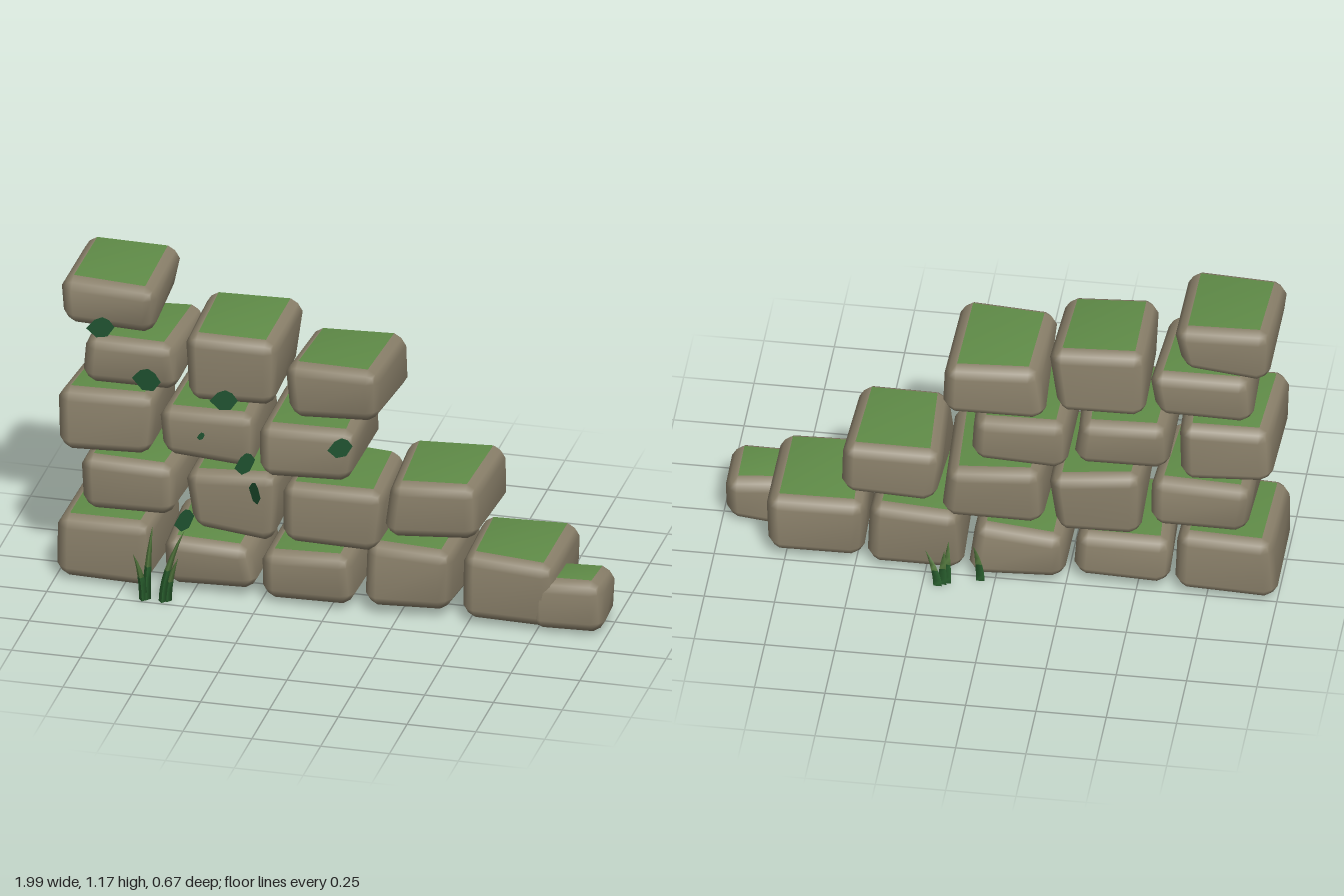
import * as THREE from 'three';
import { mergeVertices } from 'three/addons/utils/BufferGeometryUtils.js';

const material = (name, color, side = THREE.FrontSide) => {
  const m = new THREE.MeshStandardMaterial({ color, side });
  m.name = name;
  return m;
};

// Small seeded generator for the irregular stone corners
let seed = 11;
const random = () => {
  seed = (seed * 16807) % 2147483647;
  return seed / 2147483647;
};

// Bevelled block between the given bounds, with corners pulled slightly inwards
// and the flat middle of its top face kept as a separate group for the moss
function stoneGeometry([x0, x1, y0, y1, z0, z1, taper = 0]) {
  const centre = [(x0 + x1) / 2, (y0 + y1) / 2, (z0 + z1) / 2];
  const half = [(x1 - x0) / 2, (y1 - y0) / 2, (z1 - z0) / 2];
  const bevel = 0.044;
  const pull = Array.from({ length: 8 }, () => [random() * 0.024, random() * 0.022, random() * 0.026]);
  const geo = new THREE.BoxGeometry(2, 2, 2, 3, 3, 3);
  const top = geo.groups[2].start + 4 * 6;
  const total = geo.index.count;
  geo.clearGroups();
  geo.addGroup(0, top, 0);
  geo.addGroup(top, 6, 1);
  geo.addGroup(top + 6, total - top - 6, 0);

  const pos = geo.attributes.position;
  for (let i = 0; i < pos.count; i++) {
    const p = [pos.getX(i), pos.getY(i), pos.getZ(i)];
    const sign = p.map(Math.sign);
    const outer = p.map((v) => Math.abs(v) > 0.9);
    const count = outer.filter(Boolean).length;
    const reach = [0, 1, 0.62, 0.45][count];
    const corner = (sign[0] > 0 ? 1 : 0) + (sign[1] > 0 ? 2 : 0) + (sign[2] > 0 ? 4 : 0);
    const q = sign.map((s, k) =>
      s * (half[k] - bevel + (outer[k] ? bevel * reach : 0) - pull[corner][k]));
    if (sign[1] < 0) q[0] *= 1 - taper;
    pos.setXYZ(i, centre[0] + q[0], centre[1] + q[1], centre[2] + q[2]);
  }
  geo.deleteAttribute('uv');
  geo.deleteAttribute('normal');
  const smooth = mergeVertices(geo, 1e-5);
  smooth.computeVertexNormals();
  return smooth;
}

// Section of a tapering, bending grass blade, from t0 to t1 along its length
function bladeSection(base, tip, t0, t1) {
  const geo = new THREE.CylinderGeometry(1, 1, 1, 3, 3, true);
  const pos = geo.attributes.position;
  for (let i = 0; i < pos.count; i++) {
    const t = t0 + (pos.getY(i) + 0.5) * (t1 - t0);
    const r = 0.017 * (1 - t * t) + 0.0005;
    const bend = t ** 1.8;
    pos.setXYZ(i,
      base[0] + (tip[0] - base[0]) * bend + pos.getX(i) * r,
      tip[1] * t,
      base[1] + (tip[2] - base[1]) * bend + pos.getZ(i) * r * 0.7);
  }
  geo.computeVertexNormals();
  return geo;
}

export function createModel() {
  const model = new THREE.Group();
  model.name = 'ruinedWall';
  const stone = material('stone', 0x8a806a);
  const moss = material('moss', 0x5f8b47);
  const ivy = material('ivy', 0x1f5230, THREE.DoubleSide);
  const grassDark = material('grassBase', 0x2b6330, THREE.DoubleSide);
  const grassLight = material('grassTip', 0x5a8043, THREE.DoubleSide);

  // Courses of stones: x0, x1, y0, y1, z0, z1, narrowing of the underside
  const courses = [
    [[-1, -0.635, 0, 0.265, -0.28, 0.17], [-0.625, -0.27, 0.015, 0.22, -0.27, 0.17],
      [-0.27, 0.1, 0, 0.225, -0.28, 0.18], [0.115, 0.46, 0.01, 0.28, -0.28, 0.175],
      [0.46, 0.825, 0.01, 0.28, -0.265, 0.18], [0.71, 1, 0, 0.21, -0.09, 0.175]],
    [[-0.915, -0.545, 0.27, 0.495, -0.275, 0.16], [-0.54, -0.18, 0.225, 0.495, -0.28, 0.165, 0.08],
      [-0.185, 0.195, 0.23, 0.48, -0.28, 0.175], [0.19, 0.555, 0.295, 0.535, -0.28, 0.165]],
    [[-1, -0.635, 0.5, 0.745, -0.275, 0.165], [-0.625, -0.27, 0.51, 0.73, -0.27, 0.17],
      [-0.27, 0.105, 0.485, 0.705, -0.28, 0.185]],
    [[-0.915, -0.545, 0.75, 0.955, -0.27, 0.155], [-0.55, -0.18, 0.74, 1.018, -0.27, 0.16, 0.09],
      [-0.18, 0.19, 0.71, 0.932, -0.275, 0.16]],
    [[-0.995, -0.635, 0.965, 1.177, -0.285, 0.145]],
  ];
  courses.forEach((course, row) => {
    const group = new THREE.Group();
    group.name = `stoneCourse${row + 1}`;
    course.forEach((bounds, i) => {
      const mesh = new THREE.Mesh(stoneGeometry(bounds), [stone, moss]);
      mesh.name = `mossyStone${i + 1}`;
      group.add(mesh);
    });
    model.add(group);
  });

  // Ivy leaves on the front: x, y, z, turn about the upright axis, size
  const outline = [[-0.05, 0], [-0.022, 0.032], [0.006, 0.042], [0.03, 0.03],
    [0.05, 0.002], [0.024, -0.034], [-0.015, -0.036]];
  const leafGeo = new THREE.ShapeGeometry(
    new THREE.Shape(outline.map(([x, y]) => new THREE.Vector2(x, y))));
  const leaves = [
    [-0.83, 1, 0.152, 0.3, 1], [-0.66, 0.822, 0.165, -0.15, 1.1], [-0.38, 0.772, 0.16, 0.2, 1],
    [0.05, 0.65, 0.19, 0.6, 0.95], [-0.46, 0.63, 0.172, 0.9, 0.35],
    [-0.29, 0.56, 0.213, 1.0, 1], [-0.255, 0.45, 0.21, -0.9, 1], [-0.51, 0.315, 0.213, 1.05, 1.02],
  ];
  leaves.forEach(([x, y, z, turn, size], i) => {
    const leaf = new THREE.Mesh(leafGeo, ivy);
    leaf.name = `ivyLeaf${i + 1}`;
    leaf.position.set(x, y, z);
    leaf.rotation.y = turn;
    leaf.scale.setScalar(size);
    model.add(leaf);
  });

  // Grass tufts: base (x, z) and tip (x, y, z) of every blade
  const tufts = {
    frontGrass: [
      [[-0.655, 0.235], [-0.665, 0.22, 0.333]], [[-0.645, 0.225], [-0.625, 0.28, 0.215]],
      [[-0.585, 0.23], [-0.515, 0.265, 0.19]], [[-0.57, 0.22], [-0.53, 0.17, 0.225]],
    ],
    backGrass: [
      [[0.165, -0.3], [0.16, 0.18, -0.3]], [[0.195, -0.32], [0.24, 0.14, -0.31]],
      [[0.18, -0.31], [0.17, 0.16, -0.333]], [[0.05, -0.27], [0.07, 0.17, -0.305]],
    ],
  };
  for (const [name, blades] of Object.entries(tufts)) {
    const tuft = new THREE.Group();
    tuft.name = name;
    for (const [base, tip] of blades) {
      const lower = new THREE.Mesh(bladeSection(base, tip, 0, 0.45), grassDark);
      const upper = new THREE.Mesh(bladeSection(base, tip, 0.45, 1), grassLight);
      lower.name = 'bladeBase';
      upper.name = 'bladeTip';
      tuft.add(lower, upper);
    }
    model.add(tuft);
  }
  return model;
}
